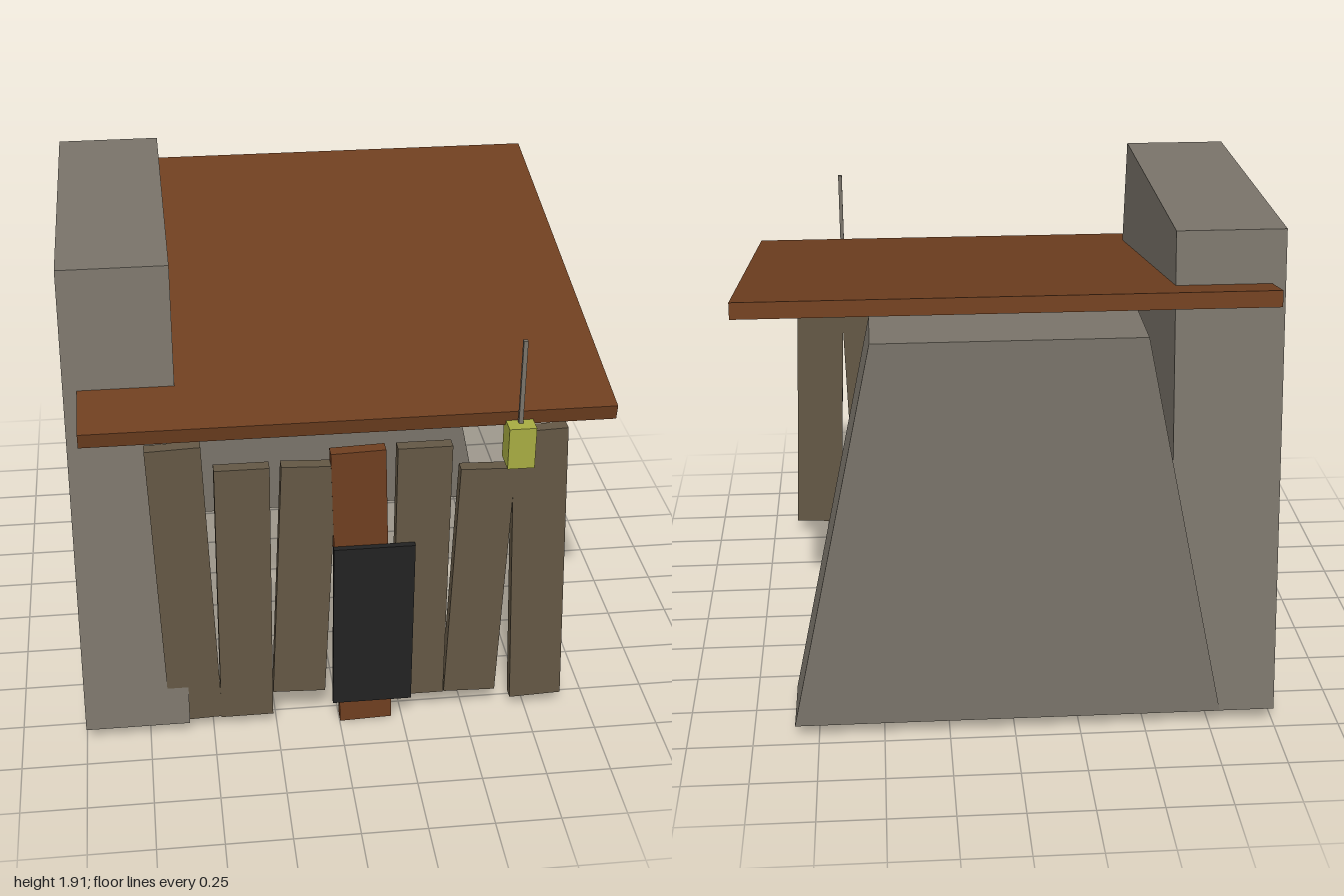
import * as THREE from 'three';

const mat = (name, color) => {
  const m = new THREE.MeshStandardMaterial({ color });
  m.name = name;
  return m;
};

export function createModel() {
  const group = new THREE.Group();
  const stone = mat('grey stone', 0x7a746a);
  const rust = mat('rust brown', 0x6f3f20);
  const wood = mat('drab wood', 0x645845);
  const black = mat('black', 0x222222);
  const yellow = mat('lantern yellow', 0xa8ac42);

  const add = (name, geometry, material, x, y, z) => {
    const mesh = new THREE.Mesh(geometry, material);
    mesh.name = name;
    mesh.position.set(x, y, z);
    group.add(mesh);
    return mesh;
  };
  const box = (name, material, w, h, d, x, y, z) =>
    add(name, new THREE.BoxGeometry(w, h, d), material, x, y, z);

  // Upright slab with its top narrowed along one axis
  const taperedWall = (name, w, h, d, axis, ratio, x, y, z) => {
    const g = new THREE.BoxGeometry(w, h, d);
    const p = g.attributes.position;
    for (let i = 0; i < p.count; i++) {
      if (p.getY(i) > 0) p.setComponent(i, axis, p.getComponent(i, axis) * ratio);
    }
    g.computeVertexNormals();
    return add(name, g, stone, x, y, z);
  };
  taperedWall('sideWall', 0.405, 1.845, 1.84, 2, 1.3 / 1.84, -0.7975, 0.9825, -0.05);
  taperedWall('backWall', 1.63, 1.54, 0.3, 0, 0.985 / 1.63, 0.025, 0.83, -0.821);

  // Sloping roof, higher at the back
  box('roof', rust, 1.95, 0.06, 1.845, 0.025, 1.545, 0).rotation.x = 0.18;

  // Crooked fence planks: centre x, centre y, height, tilt, material
  const planks = [
    [-0.593, 0.675, 1.23, 0.04, wood],
    [-0.368, 0.625, 1.13, 0, wood],
    [-0.141, 0.674, 1.025, -0.04, wood],
    [0.083, 0.62, 1.235, 0.035, rust],
    [0.31, 0.675, 1.13, 0, wood],
    [0.533, 0.622, 1.025, -0.03, wood],
    [0.763, 0.675, 1.225, 0.04, wood],
  ];
  planks.forEach(([x, y, h, tilt, m], i) => {
    const plank = box('plank' + (i + 1), m, 0.205, h, 0.05, x, y, 0.822 + (i % 2) * 0.001);
    plank.rotation.z = tilt;
  });

  // Dark board fixed to the fence
  box('board', black, 0.31, 0.72, 0.026, 0.125, 0.47, 0.859);

  // Lantern hanging from a thin rod
  box('lantern', yellow, 0.1, 0.165, 0.1, 0.64, 1.287, 0.924);
  box('lanternRod', stone, 0.016, 0.34, 0.016, 0.64, 1.53, 0.924);

  return group;
}
